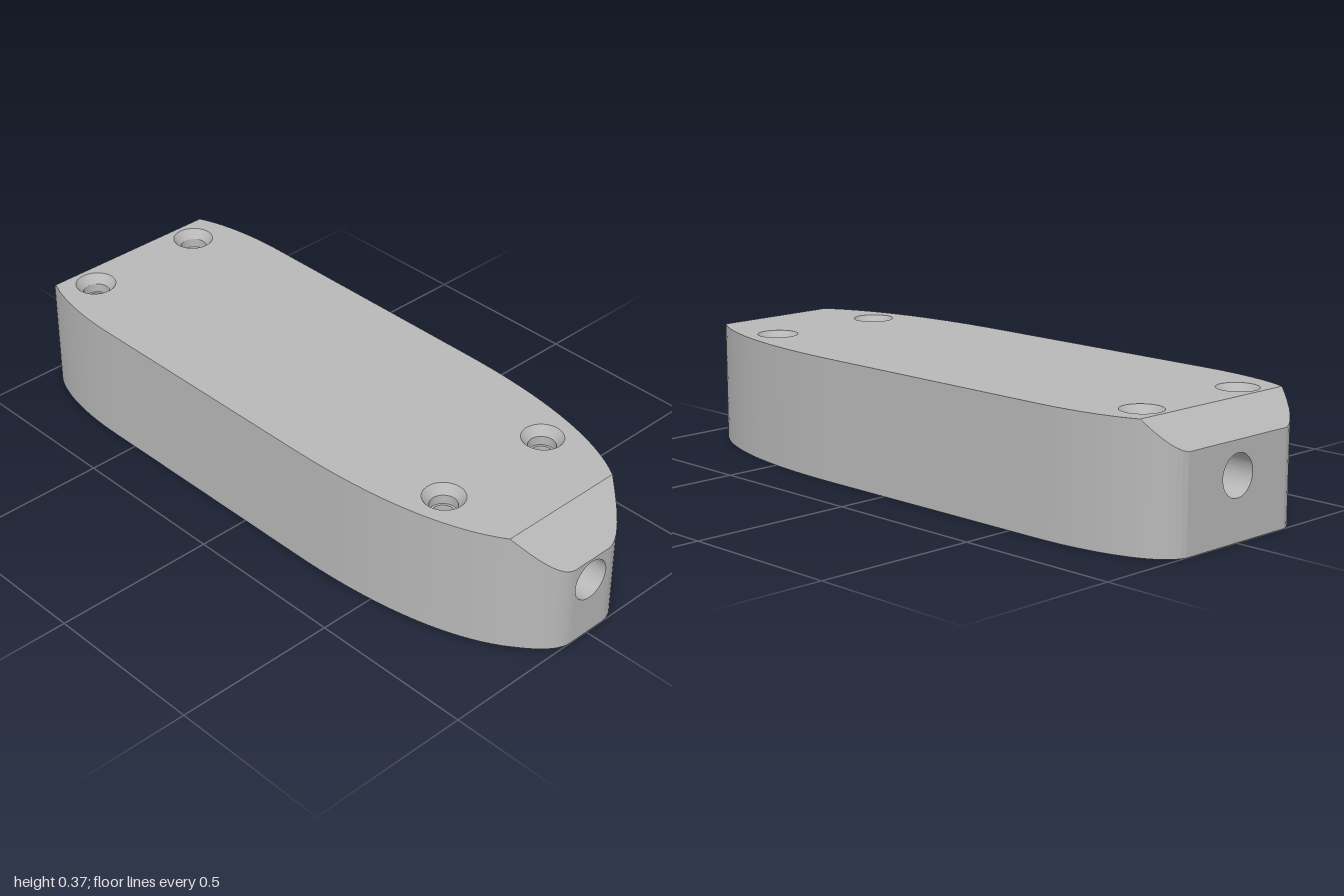
import * as THREE from 'three';

const TOP = 0.365, SEAM = 0.183, HOLE_R = 0.061;
const REAR = -0.912, FRONT = 0.885; // x where the end chamfers start

// Height of the upper surface along the length
function topY(x) {
  if (x > FRONT) return TOP - (x - FRONT) / (1 - FRONT) * 0.112;
  if (x < REAR) return TOP - (REAR - x) / (1 + REAR) * 0.085;
  return TOP;
}

// Half outline in plan as [x, halfWidth], running from the wide end to the narrow one
function halfOutline() {
  const bez = (a, b, c, d, n) => new THREE.CubicBezierCurve(
    ...[a, b, c, d].map(p => new THREE.Vector2(...p))).getPoints(n).map(p => [p.x, p.y]);
  const pts = [
    ...bez([-1, 0.2], [-0.98, 0.30], [-0.78, 0.341], [-0.6, 0.341], 18),
    ...bez([0.22, 0.341], [0.50, 0.341], [0.74, 0.30], [FRONT, 0.203], 18),
    ...bez([FRONT, 0.203], [0.95, 0.157], [1, 0.115], [1, 0.064], 12).slice(1),
  ];
  // add a point exactly where the rear chamfer begins
  const i = pts.findIndex(p => p[0] > REAR), [a, b] = [pts[i - 1], pts[i]];
  const t = (REAR - a[0]) / (b[0] - a[0]);
  pts.splice(i, 0, [REAR, a[1] + t * (b[1] - a[1])]);
  return pts;
}

export function createModel() {
  const group = new THREE.Group();
  const grey = new THREE.MeshStandardMaterial({ color: 0xb8b8b8, flatShading: true, side: THREE.DoubleSide });
  const add = (name, geo) => {
    const mesh = new THREE.Mesh(geo, grey);
    mesh.name = name;
    group.add(mesh);
    return mesh;
  };
  const half = halfOutline();

  // Horizontal or sloping cover cut from the outline between two x values
  const cover = (name, x0, x1, height, holes = []) => {
    const run = half.filter(p => p[0] >= x0 - 1e-6 && p[0] <= x1 + 1e-6);
    const ring = [...run.map(([x, w]) => [x, -w]), ...run.slice().reverse()];
    const shape = new THREE.Shape(ring.map(p => new THREE.Vector2(...p)));
    for (const [x, z, r] of holes) shape.holes.push(new THREE.Path().absarc(x, z, r, 0, Math.PI * 2, true));
    const geo = new THREE.ShapeGeometry(shape, 20).rotateX(-Math.PI / 2);
    const pos = geo.attributes.position;
    for (let i = 0; i < pos.count; i++) pos.setY(i, height(pos.getX(i)));
    geo.computeVertexNormals();
    return add(name, geo);
  };

  // Curved side wall between two heights; side is +1 or -1 in z
  const wall = (name, side, low, high) => {
    const pos = [], index = [];
    half.forEach(([x, w], i) => {
      pos.push(x, low(x), side * w, x, high(x), side * w);
      if (!i) return;
      const a = 2 * i - 2, b = a + 1, c = a + 2, d = a + 3;
      index.push(...(side > 0 ? [a, c, b, b, c, d] : [a, b, c, b, d, c]));
    });
    const geo = new THREE.BufferGeometry();
    geo.setAttribute('position', new THREE.Float32BufferAttribute(pos, 3));
    geo.setIndex(index);
    geo.computeVertexNormals();
    add(name, geo);
  };

  // Screw positions
  const screws = [];
  for (const x of [-0.835, 0.64]) for (const z of [-0.195, 0.195]) screws.push([x, z, 0.061]);

  // Shell
  cover('topFace', REAR, FRONT, topY, screws);
  cover('rearChamfer', -1, REAR, topY);
  cover('frontChamfer', FRONT, 1, topY);
  // underside is wound the other way so that it faces down
  const base = cover('bottomFace', -1, 1, () => 0);
  const idx = base.geometry.index;
  for (let i = 0; i < idx.count; i += 3) {
    const a = idx.getX(i);
    idx.setX(i, idx.getX(i + 1));
    idx.setX(i + 1, a);
  }
  base.geometry.computeVertexNormals();
  for (const side of [1, -1]) {
    wall('lowerSideWall', side, () => 0, () => SEAM);
    wall('upperSideWall', side, () => SEAM, topY);
  }

  // End plates with cable openings, and the recess behind each
  for (const [end, w, label] of [[1, 0.064, 'front'], [-1, 0.2, 'rear']]) {
    const h = topY(end), turn = end * Math.PI / 2;
    const plate = new THREE.Shape([[-w, 0], [w, 0], [w, h], [-w, h]].map(p => new THREE.Vector2(...p)));
    plate.holes.push(new THREE.Path().absarc(0, SEAM, HOLE_R, 0, Math.PI * 2, true));
    add(label + 'EndPlate', new THREE.ShapeGeometry(plate, 24).rotateY(turn).translate(end, 0, 0));

    const tube = new THREE.CylinderGeometry(HOLE_R, HOLE_R, 0.12, 48, 1, true).rotateZ(Math.PI / 2);
    add(label + 'CableHole', tube.translate(end * 0.94, SEAM, 0));

    // shelves left above and below the inner passage
    const a = Math.asin(0.055 / HOLE_R);
    for (const start of [a, a + Math.PI]) {
      const lip = new THREE.Shape().absarc(0, 0, HOLE_R, start, start + Math.PI - 2 * a, false);
      add(label + 'HoleLip', new THREE.ShapeGeometry(lip, 10).rotateY(turn).translate(end * 0.88, SEAM, 0));
    }
  }

  // Inner passage: floor, ceiling and sides
  for (const s of [1, -1]) {
    add('passageFace', new THREE.PlaneGeometry(1.76, 0.14).rotateX(s * Math.PI / 2)
      .translate(0, SEAM + s * 0.055, 0));
    add('passageSide', new THREE.PlaneGeometry(1.76, 0.11).translate(0, SEAM, s * 0.07));
  }

  // Countersunk screw holes
  const profile = [[0, 0.2], [0.033, 0.2], [0.033, 0.31], [0.04, 0.31], [0.04, 0.338], [0.061, TOP]]
    .map(p => new THREE.Vector2(...p));
  for (const [x, z] of screws) add('screwHole', new THREE.LatheGeometry(profile, 40).translate(x, 0, z));

  return group;
}
